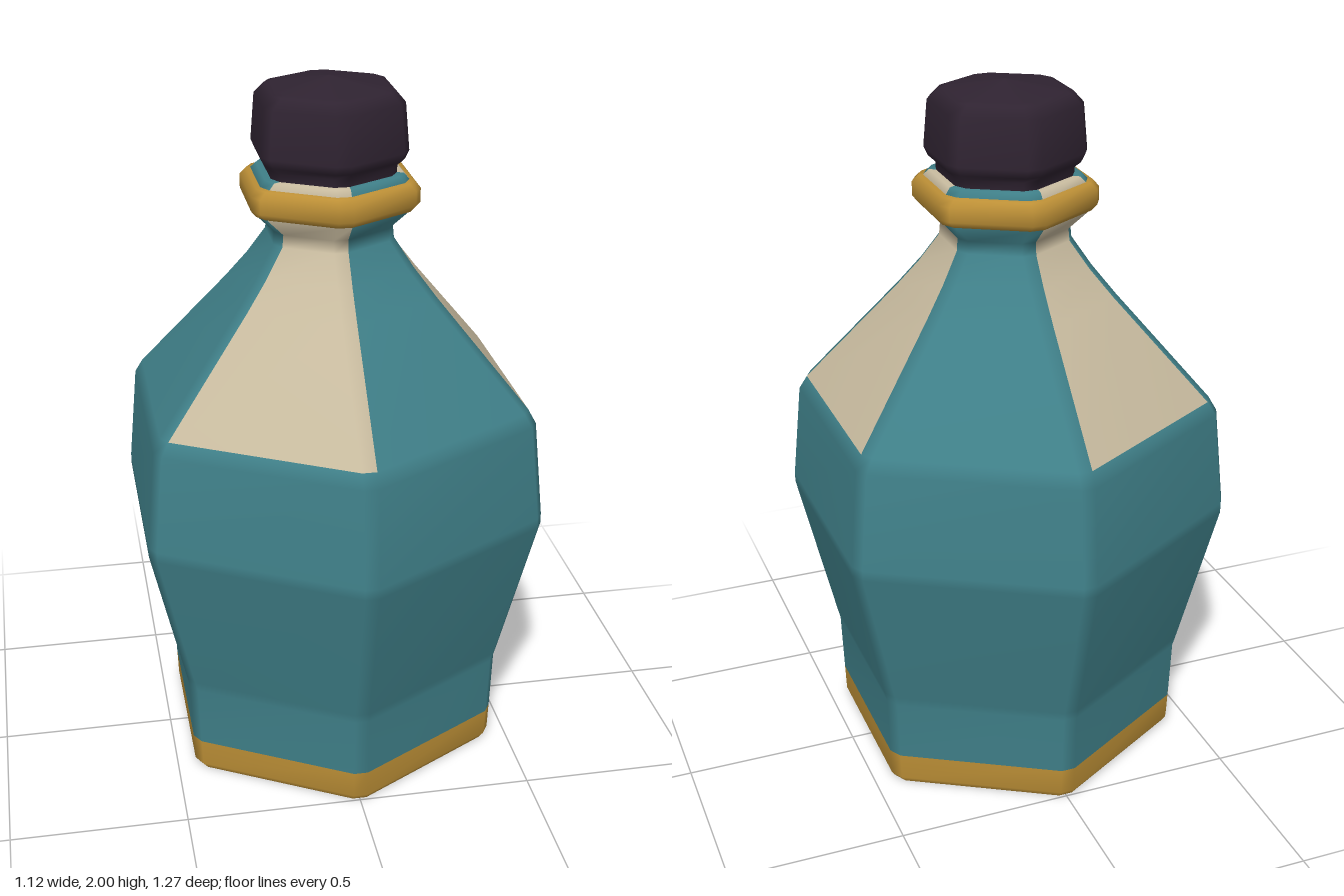
import * as THREE from 'three';

const glass = new THREE.MeshStandardMaterial({ color: 0x3f7f88 });
const panel = new THREE.MeshStandardMaterial({ color: 0xc8bb9f });
const gold = new THREE.MeshStandardMaterial({ color: 0xbc8f36 });
const cork = new THREE.MeshStandardMaterial({ color: 0x2f2331 });
const names = { glass: 'tealGlass', panel: 'creamPanel', gold: 'gold', cork: 'darkStopper' };
Object.entries({ glass, panel, gold, cork }).forEach(([k, m]) => { m.name = names[k]; });

const SIDES = 6;
const CHAMFER = 0.023;

// Hexagon with cut corners: apothem a, one flat facing +x, corners on the z axis
function hexRing(y, a) {
  const half = a * Math.tan(Math.PI / SIDES);
  const h = half - Math.min(CHAMFER, half * 0.3);
  const points = [];
  for (let k = 0; k < SIDES; k++) {
    const t = (k * 2 * Math.PI) / SIDES;
    for (const s of [-h, h]) {
      points.push(a * Math.cos(t) - s * Math.sin(t), y, a * Math.sin(t) + s * Math.cos(t));
    }
  }
  return points;
}

// Loft through [y, apothem] rings; pick(row, segment) chooses a material index
function loft(name, profile, materials, pick = () => 0) {
  const n = SIDES * 2;
  const lists = materials.map(() => []);
  for (let r = 0; r < profile.length - 1; r++) {
    for (let i = 0; i < n; i++) {
      const a = r * n + i, b = r * n + ((i + 1) % n);
      lists[pick(r, i)].push(a, a + n, b, b, a + n, b + n);
    }
  }
  const geometry = new THREE.BufferGeometry();
  const positions = profile.flatMap(([y, a]) => hexRing(y, a));
  geometry.setAttribute('position', new THREE.Float32BufferAttribute(positions, 3));
  geometry.setIndex(lists.flat());
  let start = 0;
  lists.forEach((list, m) => {
    geometry.addGroup(start, list.length, m);
    start += list.length;
  });
  geometry.computeVertexNormals(); // area weighted: broad flats, soft edges
  const mesh = new THREE.Mesh(geometry, materials);
  mesh.name = name;
  return mesh;
}

export function createModel() {
  const bottle = new THREE.Group();
  bottle.name = 'bottle';

  // Gold foot: underside and band
  bottle.add(loft('footUnderside', [[0, 0], [0, 0.435]], [gold]));
  bottle.add(loft('footBand', [[0, 0.435], [0.02, 0.448], [0.1, 0.451]], [gold]));

  // Body, shoulder and neck; alternate shoulder panels are cream
  const body = [
    [0.1, 0.451], [0.28, 0.457], [0.31, 0.464], [0.75, 0.561], [0.78, 0.561],
    [1.06, 0.536], [1.1, 0.515],
    [1.4, 0.277], [1.48, 0.218], [1.56, 0.168], [1.595, 0.165],
    [1.645, 0.21], [1.725, 0.208], [1.745, 0.19], [1.745, 0.15],
  ];
  const creamSegments = [0, 3, 4, 8];
  bottle.add(loft('body', body, [glass, panel],
    (row, seg) => (body[row][0] >= 1.1 && creamSegments.includes(seg) ? 1 : 0)));

  // Gold collar round the neck
  bottle.add(loft('collar', [
    [1.645, 0.2], [1.65, 0.218], [1.668, 0.232], [1.708, 0.232], [1.727, 0.216], [1.73, 0.2],
  ], [gold]));

  // Stopper with a shallow pointed top
  bottle.add(loft('stopper', [
    [1.735, 0.172], [1.768, 0.174], [1.785, 0.192], [1.81, 0.202], [1.94, 0.192],
    [1.97, 0.167], [1.975, 0.15], [2, 0],
  ], [cork]));

  return bottle;
}
